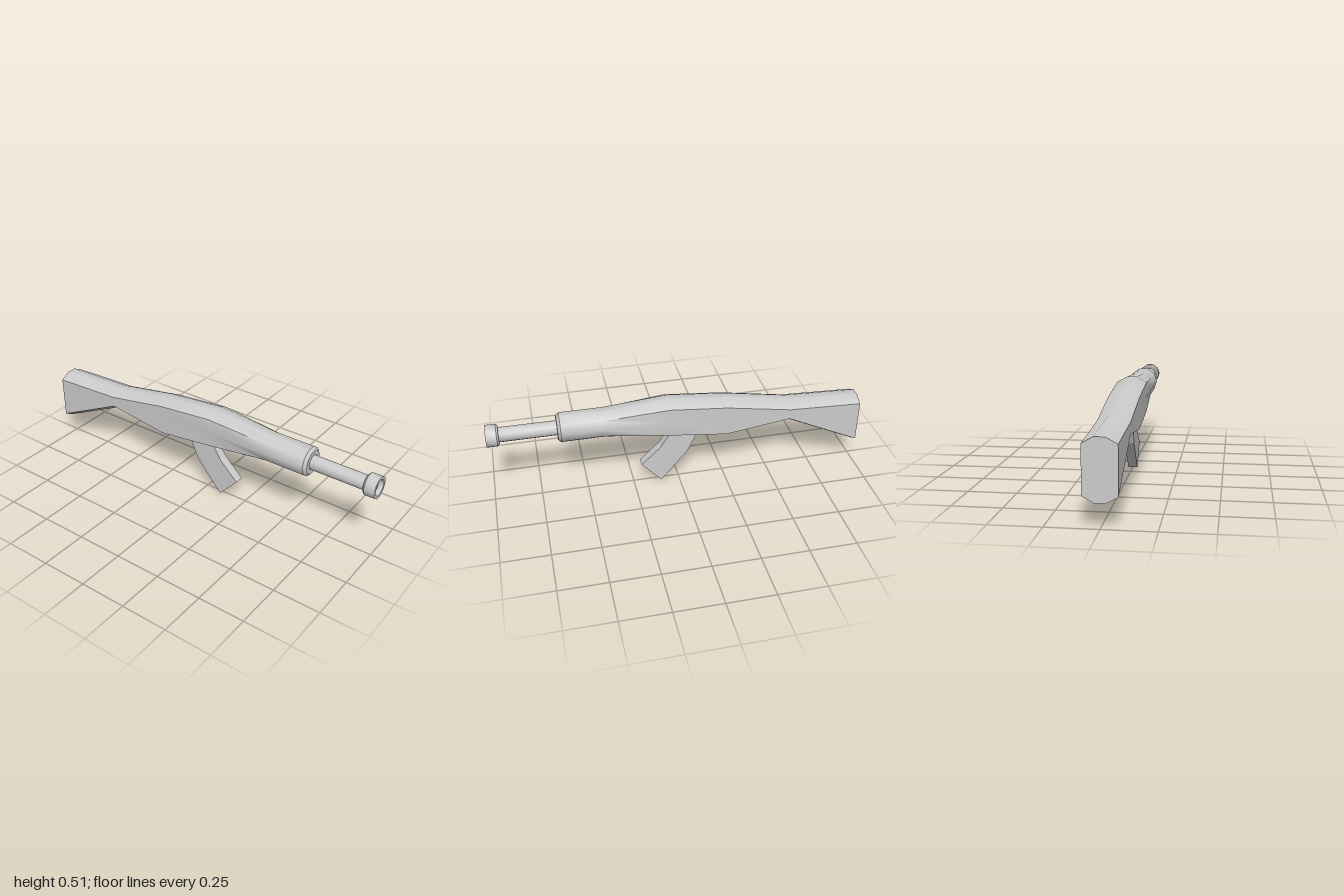
import * as THREE from 'three';
import { toCreasedNormals } from 'three/addons/utils/BufferGeometryUtils.js';

const SIDES = 10;
const AXIS_Y = 0.409;

// Regular ten-sided ring around the barrel axis
function roundRing(z, r) {
  return Array.from({ length: SIDES }, (_, i) => {
    const a = (i / SIDES) * Math.PI * 2;
    return [r * Math.cos(a), AXIS_Y + r * Math.sin(a), z];
  });
}

// Tall flat-sided ring with bevelled top and bottom
function stockRing(z, top, bottom) {
  const w = 0.08, n = 0.025, b = 0.03, mid = (top + bottom) / 2;
  return [
    [w, mid], [w, top - b], [n, top], [-n, top], [-w, top - b],
    [-w, mid], [-w, bottom + b], [-n, bottom], [n, bottom], [w, bottom + b],
  ].map(([x, y]) => [x, y, z]);
}

// Skin over rings, with an optional cap on the last one
function loft(rings, capEnd) {
  const index = [];
  for (let i = 0; i < rings.length - 1; i++) {
    for (let j = 0; j < SIDES; j++) {
      const k = (j + 1) % SIDES;
      const a = i * SIDES + j, b = i * SIDES + k;
      const c = a + SIDES, d = b + SIDES;
      index.push(a, c, b, b, c, d);
    }
  }
  if (capEnd) {
    const s = (rings.length - 1) * SIDES;
    for (let j = 1; j < SIDES - 1; j++) index.push(s, s + j + 1, s + j);
  }
  const geo = new THREE.BufferGeometry();
  geo.setAttribute('position', new THREE.Float32BufferAttribute(rings.flat(2), 3));
  geo.setIndex(index);
  return toCreasedNormals(geo, 0.7);
}

export function createModel() {
  const group = new THREE.Group();
  const material = new THREE.MeshStandardMaterial({ color: 0xcccccc, side: THREE.DoubleSide });
  const add = (name, geo) => {
    const mesh = new THREE.Mesh(geo, material);
    mesh.name = name;
    group.add(mesh);
  };

  // Body and stock: round fore-end flowing into the flat-sided butt
  add('bodyAndStock', loft([
    roundRing(0.64, 0.04),
    roundRing(0.64, 0.065),
    roundRing(0.625, 0.08),
    roundRing(0.4, 0.08),
    stockRing(0.06, 0.513, 0.295),
    stockRing(-0.25, 0.483, 0.258),
    stockRing(-0.6, 0.422, 0.305),
    stockRing(-1, 0.405, 0.115),
  ], true));

  // Open barrel with a hollow muzzle collar, from the bore outwards and back
  add('barrelAndMuzzle', loft([
    [0.935, 0.04], [0.975, 0.04], [0.975, 0.043], [1, 0.043], [1, 0.06],
    [0.945, 0.06], [0.935, 0.05], [0.935, 0.04], [0.64, 0.04],
  ].map(([z, r]) => roundRing(z, r)), false));

  // Bent magazine, profile given as (z, y)
  const profile = new THREE.Shape([
    [0.045, 0.305], [-0.11, 0.305], [-0.045, 0.168],
    [0.1, 0], [0.207, 0.118], [0.1, 0.22],
  ].map(([z, y]) => new THREE.Vector2(z, y)));
  const magazine = new THREE.ExtrudeGeometry(profile, { depth: 0.05, bevelEnabled: false });
  magazine.translate(0, 0, -0.025);
  magazine.rotateY(-Math.PI / 2);
  add('magazine', magazine);

  return group;
}
